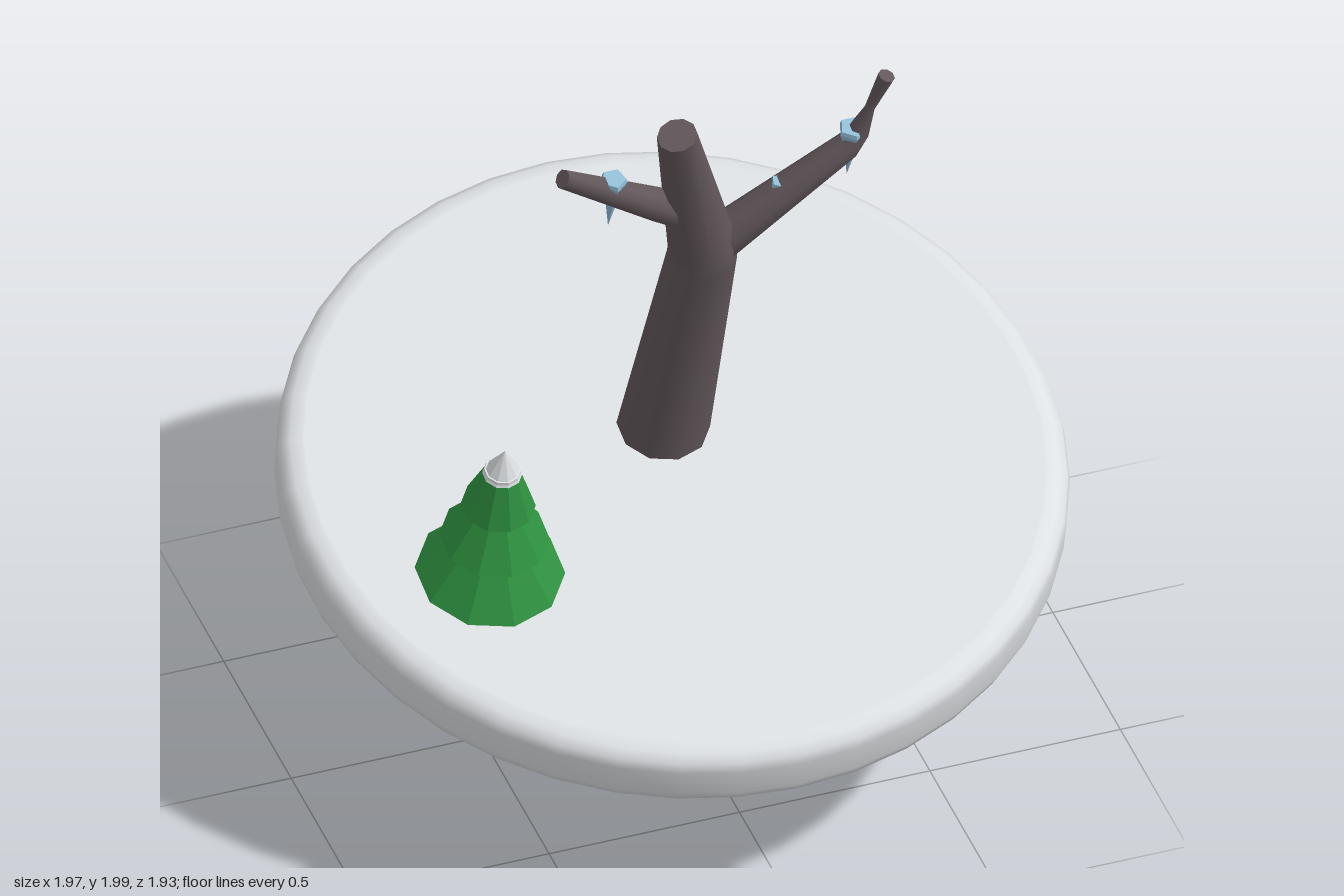
import * as THREE from 'three';

const mat = (name, color) => {
  const m = new THREE.MeshStandardMaterial({ color });
  m.name = name;
  return m;
};

const V = (x, y) => new THREE.Vector2(x, y);

// Round limb through [x, y, radius] stations in a plane facing z, with closed ends
function limbGeometry(stations, sides) {
  const pos = [], idx = [], n = stations.length;
  const dirs = stations.map((s, i) => {
    const a = stations[Math.max(i - 1, 0)], b = stations[Math.min(i + 1, n - 1)];
    return V(b[0] - a[0], b[1] - a[1]).normalize();
  });
  const ring = (i) => {
    const [x, y, r] = stations[i], d = dirs[i];
    for (let j = 0; j < sides; j++) {
      const t = (j + 0.5) / sides * Math.PI * 2;
      const c = Math.cos(t) * r;
      pos.push(x + d.y * c, y - d.x * c, Math.sin(t) * r);
    }
  };
  for (let i = 0; i < n; i++) ring(i);
  for (let i = 0; i < n - 1; i++) {
    for (let j = 0; j < sides; j++) {
      const k = (j + 1) % sides;
      const a = i * sides + j, b = i * sides + k, c = a + sides, d = b + sides;
      idx.push(a, c, b, c, d, b);
    }
  }
  // End caps use their own vertices so their edges stay sharp
  for (const i of [0, n - 1]) {
    const start = pos.length / 3;
    ring(i);
    pos.push(stations[i][0], stations[i][1], 0);
    for (let j = 0; j < sides; j++) {
      const a = start + j, b = start + (j + 1) % sides;
      if (i === 0) idx.push(start + sides, a, b);
      else idx.push(start + sides, b, a);
    }
  }
  const g = new THREE.BufferGeometry();
  g.setAttribute('position', new THREE.Float32BufferAttribute(pos, 3));
  g.setIndex(idx);
  g.computeVertexNormals();
  return g;
}

// Faceted geometry
function faceted(g) {
  const f = g.toNonIndexed();
  f.computeVertexNormals();
  return f;
}

export function createModel() {
  const snow = mat('snow', 0xdde0e3);
  const ice = mat('blueIce', 0x7899bb);
  const bark = mat('bark', 0x62575b);
  const green = mat('pineGreen', 0x2f9341);
  const icicleBlue = mat('icicleBlue', 0x93c0d8);

  const model = new THREE.Group();
  model.name = 'tiltedSnowIsland';

  // The whole island leans toward the front
  const island = new THREE.Group();
  island.name = 'island';
  island.position.y = 0.7;
  island.rotation.x = THREE.MathUtils.degToRad(13.8);
  model.add(island);

  const add = (parent, name, geometry, material, x = 0, y = 0, z = 0) => {
    const m = new THREE.Mesh(geometry, material);
    m.name = name;
    m.position.set(x, y, z);
    parent.add(m);
    return m;
  };

  // Snow slab with rounded rim
  add(island, 'snowSlab', new THREE.LatheGeometry([
    V(0, -0.09), V(0.92, -0.09), V(0.928, -0.09), V(0.955, -0.083), V(0.977, -0.066),
    V(0.985, -0.04), V(0.985, 0.04), V(0.977, 0.066), V(0.955, 0.083),
    V(0.928, 0.09), V(0.92, 0.09), V(0, 0.09),
  ], 40), snow);

  // Ice cone below the slab
  add(island, 'iceBase', new THREE.LatheGeometry([
    V(0, -0.64), V(0.285, -0.64), V(0.29, -0.64), V(0.312, -0.634), V(0.33, -0.62),
    V(0.34, -0.612), V(0.915, -0.128), V(0.923, -0.12), V(0.928, -0.108), V(0.92, -0.085),
  ], 40), ice);

  // Bare tree
  const tree = new THREE.Group();
  tree.name = 'bareTree';
  tree.position.z = -0.092;
  island.add(tree);
  add(tree, 'trunk', limbGeometry([
    [0, 0.07, 0.117], [0.047, 0.75, 0.088], [0.045, 0.79, 0.087], [-0.06, 1.247, 0.051],
  ], 10), bark);
  add(tree, 'leftBranch', limbGeometry([
    [0.06, 0.765, 0.06], [0.12, 0.82, 0.057], [0.405, 1.06, 0.036],
    [0.425, 1.1, 0.03], [0.45, 1.19, 0.013], [0.485, 1.305, 0.022],
  ], 8), bark);
  add(tree, 'rightBranch', limbGeometry([
    [0.01, 0.92, 0.05], [-0.08, 0.98, 0.046], [-0.355, 1.172, 0.025],
  ], 8), bark);

  // Icicles: short collar tapering to a point
  for (const [x, y, r, h] of [
    [-0.215, 1.125, 0.035, 0.185], [0.412, 1.125, 0.037, 0.185], [0.235, 0.97, 0.024, 0.17],
  ]) {
    add(tree, 'icicle', faceted(new THREE.LatheGeometry([
      V(0, -h), V(r * 0.65, -h * 0.28), V(r, -0.012), V(r * 0.9, 0), V(0, 0),
    ], 5)), icicleBlue, x, y, -0.003);
  }

  // Pine tree
  const pine = new THREE.Group();
  pine.name = 'pineTree';
  pine.position.set(-0.595, 0, 0.297);
  island.add(pine);
  add(pine, 'pineStem', faceted(new THREE.CylinderGeometry(0.034, 0.034, 0.14, 8)), bark, 0, 0.14, 0);
  for (const [bottom, top, rBottom, rTop] of [
    [0.175, 0.303, 0.187, 0.092], [0.31, 0.422, 0.137, 0.066], [0.435, 0.558, 0.093, 0.047],
  ]) {
    const h = top - bottom;
    add(pine, 'pineTier', faceted(new THREE.CylinderGeometry(rTop, rBottom, h, 10)),
      green, 0, bottom + h / 2, 0);
    // Snow lying on the tier
    add(pine, 'tierSnow', faceted(new THREE.CylinderGeometry(rTop * 0.97, rTop, 0.014, 10)),
      snow, 0, top + 0.006, 0);
  }
  add(pine, 'snowTip', faceted(new THREE.ConeGeometry(0.05, 0.087, 10)), snow, 0, 0.6, 0);

  return model;
}
